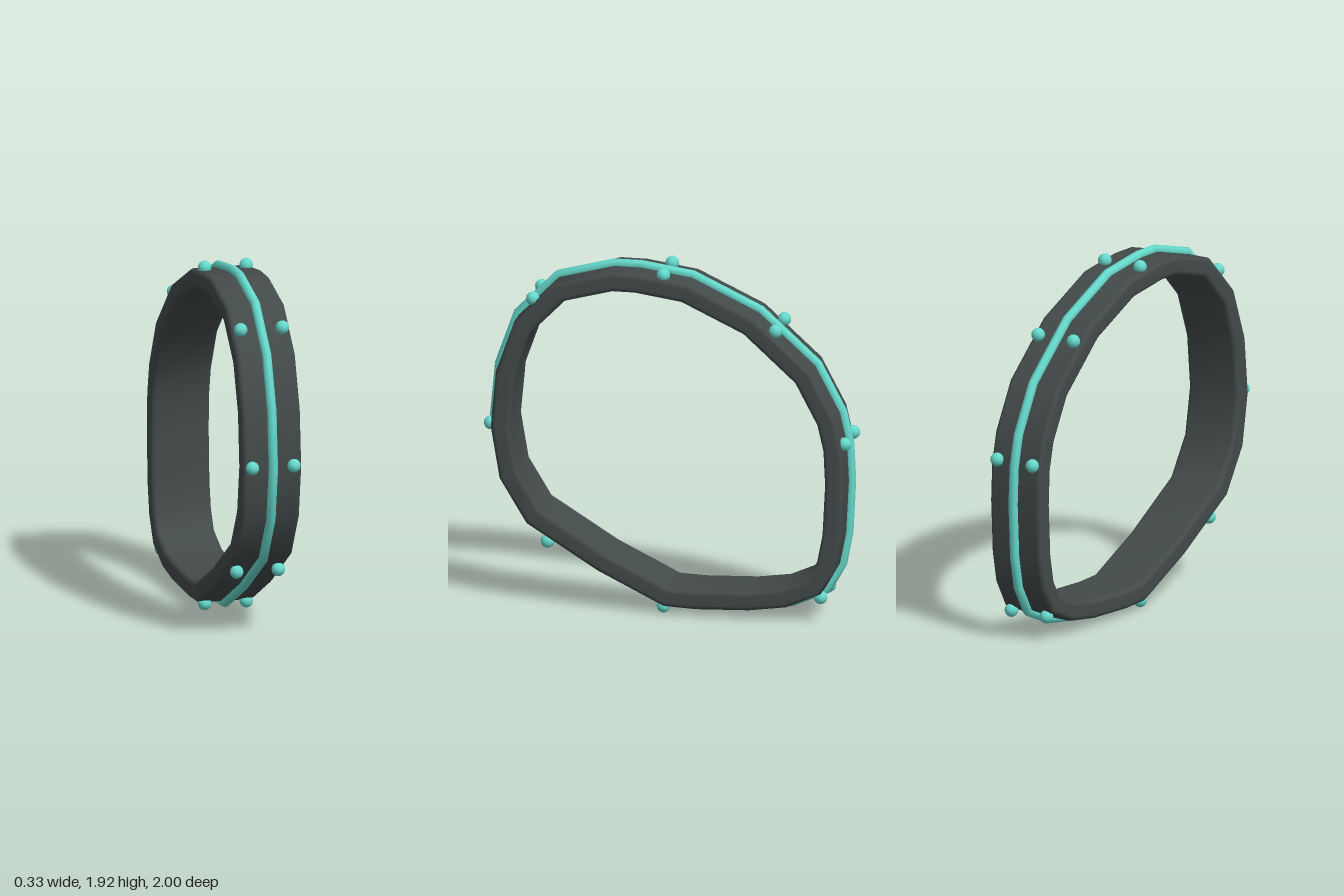
import * as THREE from 'three';

// Outline of the hoop as [z, y], clockwise seen from +x
const outline = [
  [0.32, 1.92], [0.17, 1.92], [-0.115, 1.88], [-0.49, 1.705], [-0.805, 1.42],
  [-0.945, 1.155], [-0.985, 0.98], [-0.995, 0.77], [-0.98, 0.475], [-0.945, 0.295],
  [-0.855, 0.135], [-0.65, 0.045], [-0.445, 0.015], [-0.15, 0.003], [0.03, 0.01],
  [0.4, 0.19], [0.795, 0.435], [0.95, 0.69], [1.0, 0.985], [0.97, 1.305],
  [0.865, 1.6], [0.635, 1.835],
];

// Sweep a closed section [x, outward offset] round the outline with mitred corners
function sweep(section) {
  const n = outline.length, m = section.length, pos = [], index = [];
  const normal = (a, b) => new THREE.Vector2(b[1] - a[1], a[0] - b[0]).normalize();
  outline.forEach((p, i) => {
    const n1 = normal(outline[(i + n - 1) % n], p);
    const n2 = normal(p, outline[(i + 1) % n]);
    const miter = n1.clone().add(n2).divideScalar(1 + n1.dot(n2));
    section.forEach(([x, h], j) => {
      pos.push(x, p[1] + miter.y * h, p[0] + miter.x * h);
      const a = i * m + j, b = ((i + 1) % n) * m + j;
      const c = i * m + (j + 1) % m, d = ((i + 1) % n) * m + (j + 1) % m;
      index.push(a, b, c, b, d, c);
    });
  });
  const g = new THREE.BufferGeometry();
  g.setAttribute('position', new THREE.Float32BufferAttribute(pos, 3));
  g.setIndex(index);
  g.computeVertexNormals();
  return g;
}

// Counter-clockwise rounded rectangle section
function roundedSection(halfWidth, low, high, r) {
  const pts = [], steps = 3;
  const corners = [[1, high - r], [-1, high - r], [-1, low + r], [1, low + r]];
  corners.forEach(([side, h], k) => {
    for (let s = 0; s <= steps; s++) {
      const a = (k + s / steps) * Math.PI / 2;
      pts.push([side * (halfWidth - r) + r * Math.cos(a), h + r * Math.sin(a)]);
    }
  });
  return pts;
}

export function createModel() {
  const charcoal = new THREE.MeshStandardMaterial({ color: 0x434a4a });
  charcoal.name = 'charcoal';
  const turquoise = new THREE.MeshStandardMaterial({ color: 0x66d9cc });
  turquoise.name = 'turquoise';

  const model = new THREE.Group();
  model.name = 'studdedHoop';
  const add = (name, geometry, material) => {
    const mesh = new THREE.Mesh(geometry, material);
    mesh.name = name;
    model.add(mesh);
    return mesh;
  };

  // Wide band with softened edges
  add('band', sweep(roundedSection(0.163, -0.14, -0.035, 0.025)), charcoal);

  // Raised piping along the middle of the band
  const circle = Array.from({ length: 8 }, (_, k) => {
    const a = k * Math.PI / 4;
    return [0.026 * Math.cos(a), -0.027 + 0.027 * Math.sin(a)];
  });
  add('piping', sweep(circle), turquoise);

  // Pairs of round studs on both sides of the piping
  const studs = [
    [0.03, 1.88], [0.74, 1.705], [0.97, 1.0], [0.66, 0.36],
    [0.03, 0.04], [-0.825, 0.14], [-0.955, 1.0], [-0.58, 1.605],
  ];
  const studShape = new THREE.SphereGeometry(0.037, 12, 8);
  for (const [z, y] of studs) {
    for (const side of [1, -1]) {
      add(side > 0 ? 'leftStud' : 'rightStud', studShape, turquoise)
        .position.set(side * 0.115, y, z);
    }
  }
  return model;
}
